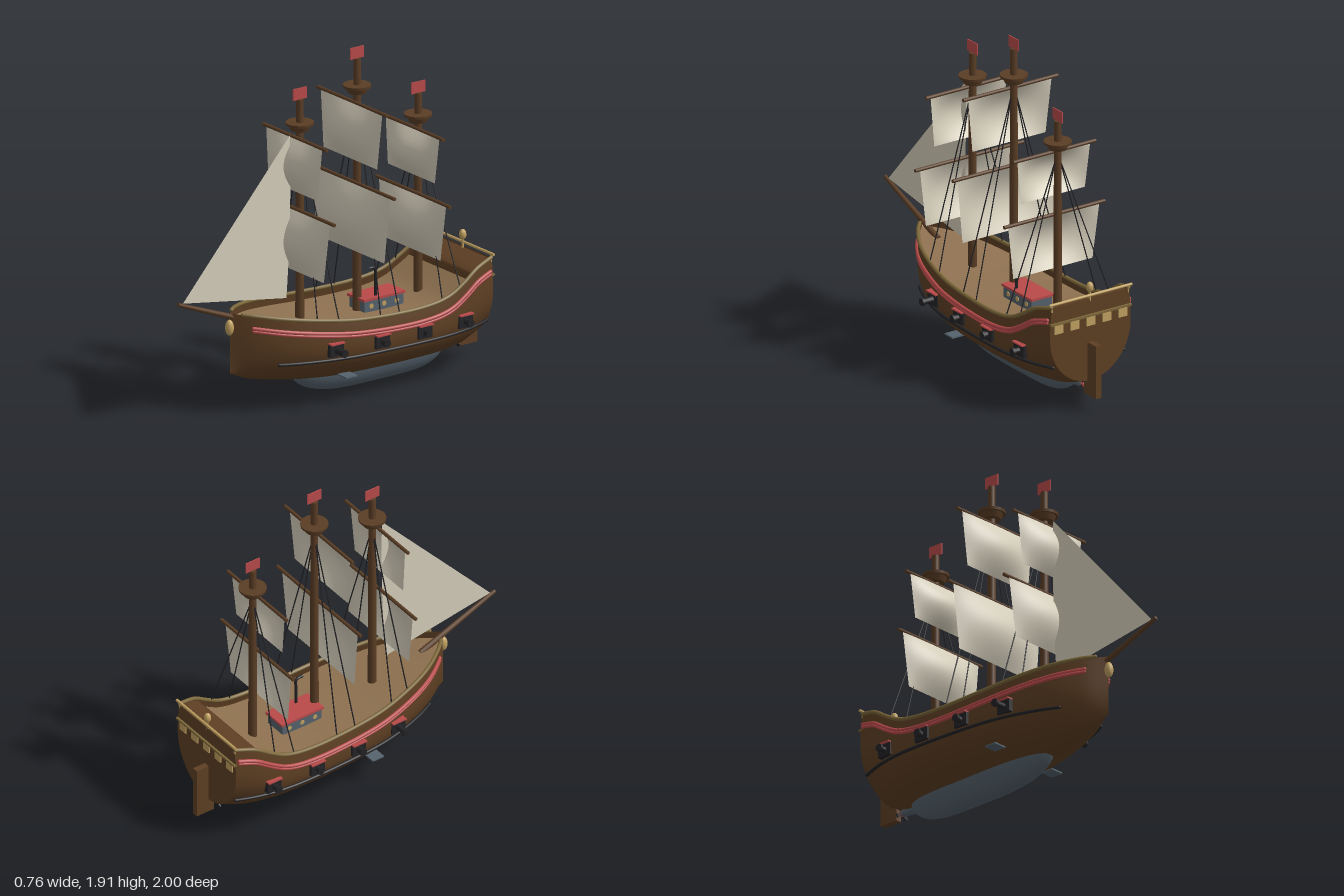
import * as THREE from 'three';

const mat = (name, color, side = THREE.FrontSide) => {
  const m = new THREE.MeshStandardMaterial({ color, side });
  m.name = name;
  return m;
};
const V = (x, y, z) => new THREE.Vector3(x, y, z);

// Hull stations from bow to stern: z, half width, keel height, sheer height
const STATIONS = [
  [0.65, 0, 0.23, 0.57], [0.55, 0.1, 0.185, 0.555], [0.4, 0.195, 0.15, 0.53],
  [0.2, 0.262, 0.12, 0.5], [0, 0.297, 0.105, 0.475], [-0.3, 0.312, 0.1, 0.46],
  [-0.5, 0.314, 0.1, 0.468], [-0.62, 0.31, 0.1, 0.495], [-0.72, 0.303, 0.105, 0.55],
  [-0.8, 0.292, 0.115, 0.6], [-0.92, 0.265, 0.16, 0.635],
];
// Smooth interpolation of the stations
function station(z) {
  const n = STATIONS.length;
  let i = 0;
  while (i < n - 2 && z < STATIONS[i + 1][0]) i++;
  const a = STATIONS[i], b = STATIONS[i + 1], h = b[0] - a[0];
  const t = THREE.MathUtils.clamp((z - a[0]) / h, 0, 1);
  const slope = (k, c) => {
    const p = STATIONS[Math.max(0, k - 1)], q = STATIONS[Math.min(n - 1, k + 1)];
    return (q[c] - p[c]) / (q[0] - p[0]);
  };
  const [w, keel, sheer] = [1, 2, 3].map((c) =>
    a[c] * (1 + 2 * t) * (1 - t) ** 2 + b[c] * t * t * (3 - 2 * t) +
    h * (slope(i, c) * t * (1 - t) ** 2 + slope(i + 1, c) * t * t * (t - 1)));
  return { w, keel, sheer, turn: keel + 0.62 * (sheer - keel) };
}
// Half width of the hull at a height
function hullX(z, y) {
  const s = station(z);
  if (y < s.turn) return s.w * Math.sqrt(Math.max(0, 1 - ((s.turn - y) / (s.turn - s.keel)) ** 2));
  return s.w * (1 - 0.05 * ((y - s.turn) / (s.sheer - s.turn)) ** 2);
}
// Full cross-section from one rail under the keel to the other
function section(z) {
  const s = station(z), pts = [];
  for (let j = -16; j <= 16; j++) {
    const t = Math.abs(j) / 16;
    const y = t < 0.7 ? s.turn - (s.turn - s.keel) * Math.cos(t / 0.7 * Math.PI / 2)
      : s.turn + (s.sheer - s.turn) * (t - 0.7) / 0.3;
    pts.push(V(Math.sign(j) * hullX(z, y), y, z));
  }
  return pts;
}
// Skin a list of equally long point rows
function loft(rows) {
  const n = rows[0].length, index = [];
  for (let i = 0; i < rows.length - 1; i++)
    for (let j = 0; j < n - 1; j++) {
      const a = i * n + j, b = a + n;
      index.push(a, b, a + 1, b, b + 1, a + 1);
    }
  const g = new THREE.BufferGeometry().setFromPoints(rows.flat());
  g.setIndex(index);
  g.computeVertexNormals();
  return g;
}
const range = (from, to, n) => Array.from({ length: n + 1 }, (_, i) => from + (to - from) * i / n);

export function createModel() {
  const root = new THREE.Group();
  root.name = 'sailingShip';
  const hullBrown = mat('hull brown', 0x5e3f23, THREE.DoubleSide);
  const mastBrown = mat('mast brown', 0x5a3d25);
  const deckTan = mat('deck tan', 0x8e7150, THREE.DoubleSide);
  const canvas = mat('sail canvas', 0xd6cfbc, THREE.DoubleSide);
  const red = mat('trim red', 0xb94a4a, THREE.DoubleSide);
  const gold = mat('gold', 0xc0a060);
  const railOlive = mat('rail olive', 0x7d683a);
  const steel = mat('steel grey', 0x55626d, THREE.DoubleSide);
  const black = mat('iron black', 0x232326);

  const add = (name, geo, m, x = 0, y = 0, z = 0) => {
    const mesh = new THREE.Mesh(geo, m);
    mesh.name = name;
    mesh.position.set(x, y, z);
    root.add(mesh);
    return mesh;
  };
  const box = (name, w, h, d, m, x, y, z) => add(name, new THREE.BoxGeometry(w, h, d), m, x, y, z);
  const pole = (name, a, b, r0, r1, m, sides = 12) => {
    const d = b.clone().sub(a);
    const mesh = add(name, new THREE.CylinderGeometry(r1, r0, d.length(), sides), m);
    mesh.position.copy(a).addScaledVector(d, 0.5);
    mesh.quaternion.setFromUnitVectors(V(0, 1, 0), d.normalize());
    return mesh;
  };
  const ball = (name, r, ry, m, x, y, z) => add(name, new THREE.SphereGeometry(r, 16, 12), m, x, y, z).scale.set(1, ry / r, 1);

  // Hull, transom and decks
  add('hull', loft(range(0.65, -0.92, 70).map(section)), hullBrown);
  const transom = new THREE.Shape(section(-0.92).map((p) => new THREE.Vector2(-p.x, p.y)));
  add('transom', new THREE.ShapeGeometry(transom), hullBrown, 0, 0, -0.92).rotation.y = Math.PI;
  const deckRow = (z, drop) => {
    const y = station(z).sheer - drop, x = hullX(z, y) * 0.99;
    return [V(x, y, z), V(0, y, z), V(-x, y, z)];
  };
  add('deck', loft(range(0.645, -0.77, 50).map((z) => deckRow(z, 0.045))), deckTan);
  add('quarterdeck', loft([deckRow(-0.769, 0.045), ...range(-0.77, -0.92, 10).map((z) => deckRow(z, 0.008))]), hullBrown);

  // Steel belly below the hull
  const belly = range(-1, 1, 40).map((q) => {
    const e = Math.sqrt(Math.max(0, 1 - Math.abs(q) ** (q < 0 ? 3 : 5)));
    return range(-Math.PI / 2, Math.PI / 2, 16).map((a) =>
      V(0.11 * e * Math.sin(a), 0.16 - 0.16 * e * Math.cos(a), -0.27 - 0.51 * q));
  });
  add('belly', loft(belly), steel);

  // Rails, wales and gun ports on both sides
  for (const s of [-1, 1]) {
    const strip = (name, z0, z1, yAt, out, r, squash, m) => {
      const curve = new THREE.CatmullRomCurve3(range(z0, z1, 40).map((z) => V(s * (hullX(z, yAt(z)) + out), yAt(z), z)));
      const tube = new THREE.TubeGeometry(curve, 80, r, 8);
      add(name, tube, m);
      for (const end of [0, 1]) ball(name + 'End', r, r * squash, m, ...curve.getPoint(end).toArray());
    };
    strip('rail', 0.6, -0.915, (z) => station(z).sheer + 0.004, 0.002, 0.011, 1, railOlive);
    strip('redWale', 0.56, -0.9, (z) => station(z).sheer - 0.066, 0.004, 0.011, 1, red);
    strip('redWaleLower', 0.56, -0.9, (z) => station(z).sheer - 0.082, 0.004, 0.009, 1, red);
    strip('ironWale', 0.44, -0.9, () => 0.278, 0.012, 0.009, 1, black);
    for (const z of [0.145, -0.14, -0.42, -0.7]) {
      const x = hullX(z, 0.335);
      box('gunPort', 0.03, 0.07, 0.09, black, s * x, 0.335, z);
      box('gunPortLid', 0.045, 0.008, 0.09, red, s * (x + 0.005), 0.374, z);
      pole('cannon', V(s * x, 0.335, z), V(s * 0.355, 0.335, z), 0.019, 0.014, black);
      pole('muzzle', V(s * 0.345, 0.335, z), V(s * 0.362, 0.335, z), 0.022, 0.022, black);
    }
    box('sideFin', 0.08, 0.008, 0.075, steel, s * 0.225, 0.155, 0.028);
  }

  // Stern: rail, lantern, windows, rudder and screw
  pole('sternRail', V(-0.27, 0.655, -0.922), V(0.27, 0.655, -0.922), 0.008, 0.008, gold);
  for (const x of [-0.25, 0.25]) pole('sternRailPost', V(x, 0.61, -0.915), V(x, 0.655, -0.92), 0.006, 0.006, gold);
  pole('lanternPost', V(0, 0.62, -0.915), V(0, 0.69, -0.915), 0.006, 0.006, gold);
  ball('lantern', 0.02, 0.03, gold, 0, 0.7, -0.915);
  box('sternLedge', 0.53, 0.012, 0.02, railOlive, 0, 0.54, -0.922);
  for (let i = -2; i <= 2; i++) box('sternWindow', 0.055, 0.05, 0.009, gold, i * 0.105, 0.505, -0.922);
  box('rudder', 0.036, 0.305, 0.115, hullBrown, 0, 0.232, -0.942);
  pole('screwShaft', V(0, 0.115, -0.74), V(0, 0.115, -0.85), 0.032, 0.02, steel);
  ball('screwHub', 0.018, 0.018, red, 0, 0.115, -0.855);
  for (let i = 0; i < 3; i++) {
    const a = i * Math.PI * 2 / 3;
    box('screwBlade', 0.022, 0.045, 0.008, black, 0.024 * Math.sin(a), 0.115 + 0.024 * Math.cos(a), -0.86).rotation.z = -a;
  }

  // Bow: bowsprit, figurehead and triangular sail
  pole('bowsprit', V(0, 0.495, 0.5), V(0, 0.69, 0.997), 0.018, 0.011, mastBrown);
  ball('figurehead', 0.024, 0.045, gold, 0, 0.49, 0.652);
  const jib = new THREE.Shape();
  jib.moveTo(-0.245, 1.5).lineTo(-0.965, 0.69).lineTo(-0.27, 0.58).quadraticCurveTo(-0.235, 1.0, -0.245, 1.5);
  add('jib', new THREE.ShapeGeometry(jib), canvas).rotation.y = Math.PI / 2;

  // Masts: nest height, top, and sails as [yard y, yard half, foot y, head half, foot half]
  const masts = [
    { z: 0.18, top: 1.69, nest: 1.54, sails: [[1.075, 0.355, 0.73, 0.32, 0.275], [1.48, 0.285, 1.18, 0.25, 0.22]] },
    { z: -0.205, top: 1.845, nest: 1.675, sails: [[1.152, 0.38, 0.77, 0.345, 0.305], [1.605, 0.31, 1.285, 0.275, 0.24]] },
    { z: -0.615, top: 1.565, nest: 1.428, sails: [[1.01, 0.33, 0.69, 0.3, 0.26], [1.375, 0.27, 1.115, 0.24, 0.21]] },
  ];
  for (const { z, top, nest, sails } of masts) {
    pole('mast', V(0, 0.4, z), V(0, top, z), 0.025, 0.02, mastBrown, 16);
    add('crowsNest', new THREE.CylinderGeometry(0.066, 0.05, 0.04, 20), mastBrown, 0, nest - 0.005, z);
    add('crowsNestRim', new THREE.CylinderGeometry(0.077, 0.075, 0.015, 20), mastBrown, 0, nest + 0.014, z);
    box('flag', 0.006, 0.065, 0.092, red, 0, top + 0.031, z);
    for (const [y, half, foot, head, base] of sails) {
      pole('yard', V(-half, y, z + 0.032), V(half, y, z + 0.032), 0.01, 0.01, mastBrown);
      const rows = range(0, 1, 14).map((v) => range(-1, 1, 18).map((u) =>
        V(u * (head + (base - head) * v), y + (foot - y) * v,
          z + 0.037 + 0.068 * (1 - u * u) * Math.sin(Math.PI * v) + 0.008 * v)));
      add('squareSail', loft(rows), canvas);
    }
    for (const s of [-1, 1])
      for (const dz of [0.06, -0.065]) {
        const y = station(z + dz).sheer;
        pole('shroud', V(s * 0.01, nest - 0.08, z), V(s * hullX(z + dz, y), y, z + dz), 0.0035, 0.0035, black, 6);
      }
  }

  // Deckhouse with portholes and a bent chimney
  box('deckhouse', 0.135, 0.08, 0.26, steel, 0, 0.44, -0.335);
  box('deckhouseRoof', 0.15, 0.014, 0.28, red, 0, 0.486, -0.335);
  for (const s of [-1, 1])
    for (const z of [-0.42, -0.335, -0.25])
      pole('porthole', V(s * 0.065, 0.447, z), V(s * 0.071, 0.447, z), 0.014, 0.014, gold);
  const flue = new THREE.CatmullRomCurve3([V(0.045, 0.48, -0.295), V(0.045, 0.6, -0.295), V(0.045, 0.642, -0.294), V(0.045, 0.652, -0.282), V(0.045, 0.653, -0.25)]);
  add('chimney', new THREE.TubeGeometry(flue, 24, 0.008, 8), black);

  return root;
}
